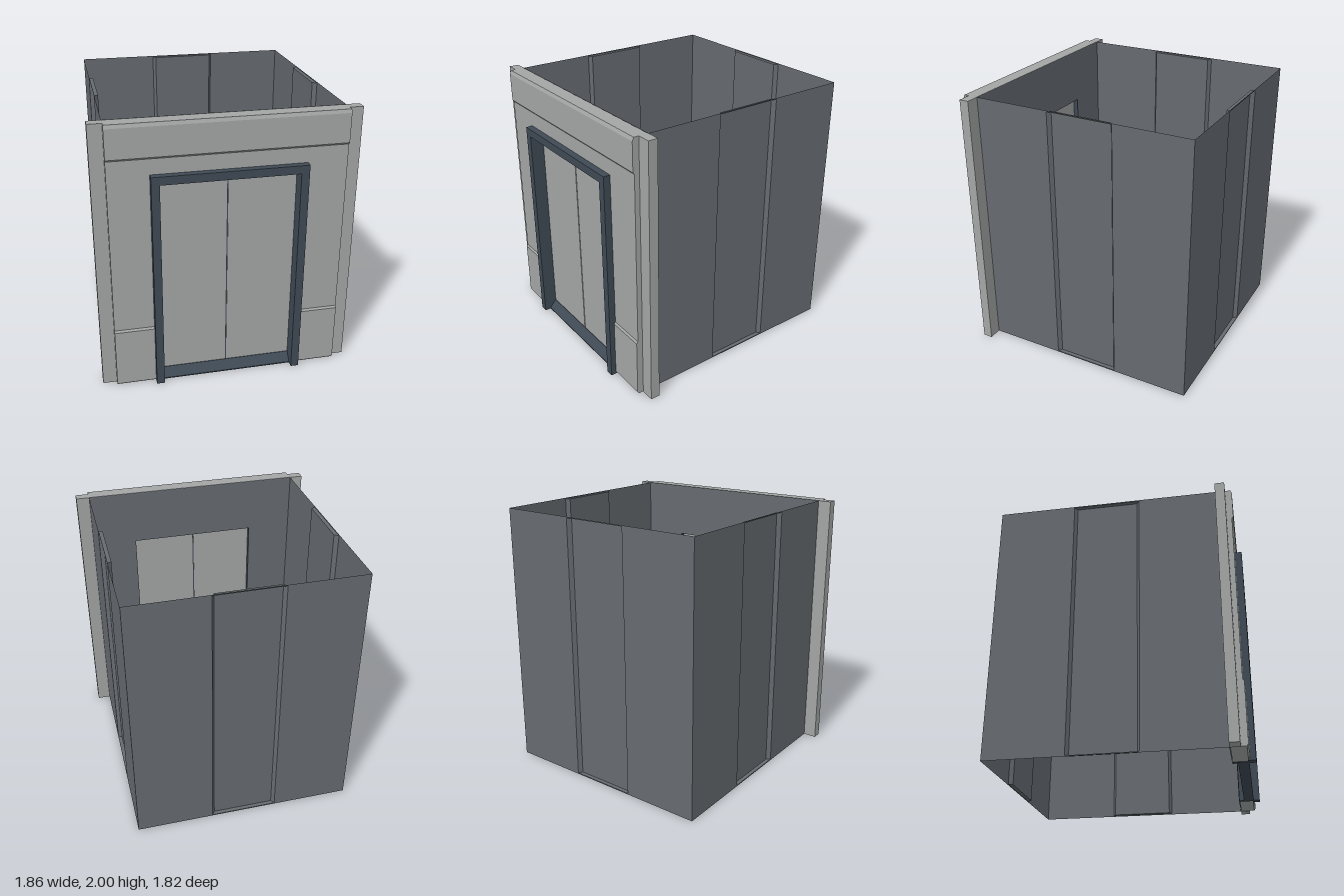
import * as THREE from 'three';

const mat = (name, color, side = THREE.FrontSide) => {
  const m = new THREE.MeshStandardMaterial({ color, side });
  m.name = name;
  return m;
};

export function createModel() {
  const model = new THREE.Group();
  model.name = 'elevatorShaft';
  const panelGrey = mat('panelGrey', 0xa3a6a5);
  const shaftGrey = mat('shaftGrey', 0x666b70, THREE.DoubleSide);
  const frameBlue = mat('frameBlue', 0x3f4a55);

  const add = (name, geometry, material, parent = model) => {
    const mesh = new THREE.Mesh(geometry, material);
    mesh.name = name;
    parent.add(mesh);
    return mesh;
  };
  // Box given by its lower and upper corners
  const box = (name, material, x0, x1, y0, y1, z0, z1) => {
    const g = new THREE.BoxGeometry(x1 - x0, y1 - y0, z1 - z0);
    g.translate((x0 + x1) / 2, (y0 + y1) / 2, (z0 + z1) / 2);
    return add(name, g, material);
  };
  // Outline in (z, y), swept along x from x0 to x1
  const sweep = (name, material, outline, x0, x1) => {
    const shape = new THREE.Shape(outline.map(([z, y]) => new THREE.Vector2(-z, y)));
    const g = new THREE.ExtrudeGeometry(shape, { depth: x1 - x0, bevelEnabled: false });
    g.rotateY(Math.PI / 2);
    g.translate(x0, 0, 0);
    return add(name, g, material);
  };
  const rect = (Type, x0, x1, y0, y1) => new Type([[x0, y0], [x1, y0], [x1, y1], [x0, y1]]
    .map(([x, y]) => new THREE.Vector2(x, y)));

  // Thin wall facing +z with a tall recess from a to b, capped above and below
  const wall = (name, u0, u1, a, b) => {
    const group = new THREE.Group();
    group.name = name;
    const low = 0.008, high = 1.992, depth = 0.03, slope = 0.02;
    const sheet = rect(THREE.Shape, u0, u1, 0, 2);
    sheet.holes.push(rect(THREE.Path, a, b, low, high));
    add('wallSheet', new THREE.ShapeGeometry(sheet), shaftGrey, group);

    const plan = [[a, 0], [a + slope, -depth], [b - slope, -depth], [b, 0]];
    const pos = [];
    const quad = (p, q, r, s) => pos.push(...p, ...q, ...r, ...p, ...r, ...s);
    const at = (i, y) => [plan[i][0], y, plan[i][1]];
    for (let i = 0; i < 3; i++) quad(at(i, low), at(i + 1, low), at(i + 1, high), at(i, high));
    quad(at(0, low), at(3, low), at(2, low), at(1, low));
    quad(at(0, high), at(1, high), at(2, high), at(3, high));
    const g = new THREE.BufferGeometry();
    g.setAttribute('position', new THREE.Float32BufferAttribute(pos, 3));
    g.computeVertexNormals();
    add('wallRecess', g, shaftGrey, group);
    model.add(group);
    return group;
  };

  // Shaft walls: back, left (+x) and right (-x)
  const back = wall('backWall', -0.83, 0.83, -0.25, 0.25);
  back.rotation.y = Math.PI;
  back.position.z = -0.908;
  const left = wall('leftWall', -0.75, 0.908, -0.17, 0.33);
  left.rotation.y = Math.PI / 2;
  left.position.x = 0.83;
  const right = wall('rightWall', -0.908, 0.75, -0.33, 0.17);
  right.rotation.y = -Math.PI / 2;
  right.position.x = -0.83;

  // Inner lining of the front wall, with the doorway
  const lining = rect(THREE.Shape, -0.83, 0.83, 0, 2);
  lining.holes.push(rect(THREE.Path, -0.485, 0.485, 0, 1.58));
  add('frontLining', new THREE.ShapeGeometry(lining), shaftGrey).position.z = 0.745;

  // Front panel: a header with a raised band, and sides with a raised base
  const zb = 0.75, zm = 0.856, zr = 0.867;
  sweep('headerPanel', panelGrey,
    [[zb, 1.61], [zm, 1.61], [zm, 1.752], [zr, 1.765], [zr, 1.975], [zm, 2], [zb, 2]], -0.83, 0.83);
  for (const s of [-1, 1]) {
    const [x0, x1] = s < 0 ? [-0.83, -0.51] : [0.51, 0.83];
    sweep('sidePanel', panelGrey,
      [[zb, 0.004], [zm, 0.004], [zr, 0.02], [zr, 0.452], [zm, 0.467], [zm, 1.61], [zb, 1.61]], x0, x1);
    const [p0, p1] = s < 0 ? [-0.93, -0.83] : [0.83, 0.93];
    box('cornerPillar', panelGrey, p0, p1, 0, 2, 0.747, 0.818);
  }

  // Door frame
  for (const s of [-1, 1]) {
    const [x0, x1] = s < 0 ? [-0.543, -0.485] : [0.485, 0.543];
    box('frameJamb', frameBlue, x0, x1, 0, 1.64, 0.852, 0.907);
    const [r0, r1] = s < 0 ? [-0.512, -0.485] : [0.485, 0.512];
    box('frameReveal', frameBlue, r0, r1, 0, 1.612, 0.748, 0.852);
  }
  box('frameHead', frameBlue, -0.485, 0.485, 1.58, 1.64, 0.852, 0.907);
  box('headReveal', frameBlue, -0.485, 0.485, 1.58, 1.612, 0.748, 0.852);

  // Sloped sill
  sweep('sill', frameBlue, [[0.785, 0], [0.86, 0], [0.86, 0.008], [0.808, 0.07], [0.785, 0.07]], -0.485, 0.485);

  // Sliding doors with a dark seam
  box('leftDoor', panelGrey, 0.001, 0.485, 0.07, 1.58, 0.785, 0.805);
  box('rightDoor', panelGrey, -0.485, -0.008, 0.07, 1.58, 0.785, 0.805);
  box('doorSeam', frameBlue, -0.008, 0.001, 0.07, 1.58, 0.79, 0.799);

  return model;
}
